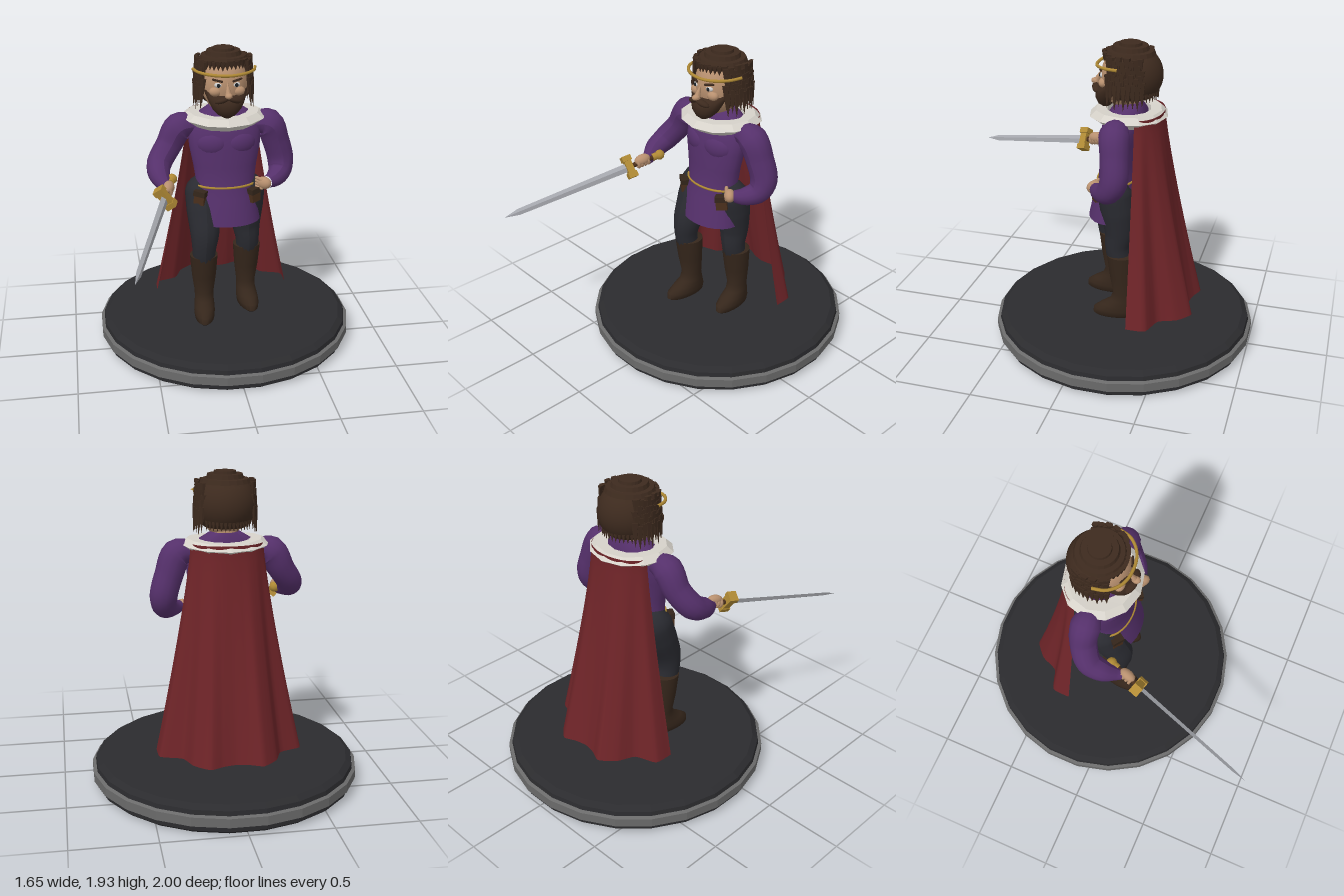
import * as THREE from 'three';
import { toCreasedNormals } from 'three/addons/utils/BufferGeometryUtils.js';
import { ParametricGeometry } from 'three/addons/geometries/ParametricGeometry.js';

const V = (x, y, z) => new THREE.Vector3(x, y, z);
const mat = (color, opts = {}) => new THREE.MeshStandardMaterial({ color, ...opts });
const DOUBLE = { side: THREE.DoubleSide };
const M = {
  purple: mat(0x55306b), cape: mat(0x6e2428, DOUBLE), hair: mat(0x3d2a1e, { flatShading: true }),
  beard: mat(0x3d2a1e), boot: mat(0x35261b), trousers: mat(0x292a30), gold: mat(0xb08a35),
  skin: mat(0xb8906f), steel: mat(0xa4a6ac, { flatShading: true }), collar: mat(0xd6d2ca, { flatShading: true }),
  base: mat(0x2b2b2e, { flatShading: true }), rim: mat(0x6a6a6a, { flatShading: true }),
  white: mat(0xdcdcdc), dark: mat(0x1d2226), leather: mat(0x4a2f1c),
};

function add(parent, name, geo, material, pos = [0, 0, 0], rot = [0, 0, 0], scale = [1, 1, 1]) {
  const m = new THREE.Mesh(geo, material);
  m.name = name;
  m.position.set(...pos);
  m.rotation.set(...rot);
  m.scale.set(...scale);
  parent.add(m);
  return m;
}

// Closed stack of horizontal ellipses, bottom to top: [y, x, z, rx, rz]
function loft(rings, n = 20) {
  const first = rings[0], last = rings[rings.length - 1];
  const all = [[first[0], first[1], first[2], 0, 0], ...rings, [last[0], last[1], last[2], 0, 0]];
  const pos = [], idx = [];
  all.forEach(([y, x, z, rx, rz], i) => {
    for (let j = 0; j < n; j++) {
      const a = j / n * Math.PI * 2;
      pos.push(x + rx * Math.sin(a), y, z + rz * Math.cos(a));
      if (i === all.length - 1) continue;
      const p = i * n + j, q = i * n + (j + 1) % n;
      idx.push(p, q, q + n, p, q + n, p + n);
    }
  });
  const g = new THREE.BufferGeometry();
  g.setAttribute('position', new THREE.Float32BufferAttribute(pos, 3));
  g.setIndex(idx);
  g.computeVertexNormals();
  return toCreasedNormals(g, 0.9);
}

// Tube whose radius follows the path points: [x, y, z, r]
function limb(pts, n = 14, rows = 28) {
  const path = new THREE.CatmullRomCurve3(pts.map(p => V(p[0], p[1], p[2])));
  const g = new THREE.TubeGeometry(path, rows, 1, n, false), P = g.attributes.position;
  for (let i = 0; i < P.count; i++) {
    const u = Math.floor(i / (n + 1)) / rows, t = path.getUtoTmapping(u) * (pts.length - 1);
    const k = Math.min(Math.floor(t), pts.length - 2);
    const r = THREE.MathUtils.lerp(pts[k][3], pts[k + 1][3], t - k), c = path.getPointAt(u);
    const v = V(0, 0, 0).fromBufferAttribute(P, i).sub(c).multiplyScalar(r).add(c);
    P.setXYZ(i, v.x, v.y, v.z);
  }
  g.computeVertexNormals();
  return g;
}

const lathe = (pts, n) => new THREE.LatheGeometry(pts.map(p => new THREE.Vector2(...p)), n);
const ball = () => new THREE.SphereGeometry(1, 20, 14);

function makeBase(g) {
  const at = [0, 0, -0.18], turn = [0, Math.PI / 24, 0];
  add(g, 'baseBottom', lathe([[0, 0], [0.785, 0], [0.81, 0.02], [0.81, 0.05]], 24), M.base, at, turn);
  add(g, 'baseRim', lathe([[0.81, 0.048], [0.83, 0.055], [0.83, 0.11], [0.81, 0.118]], 24), M.rim, at, turn);
  add(g, 'baseTop', lathe([[0.81, 0.115], [0.805, 0.145], [0.77, 0.17], [0, 0.17]], 24), M.base, at, turn);
}

function makeLeg(g, s, z) {
  const side = s > 0 ? 'left' : 'right', x = s * 0.152;
  add(g, side + 'Trousers', limb([[s * 0.12, 1.1, -0.15, 0.06], [s * 0.145, 1.03, -0.15, 0.108],
    [s * 0.145, 0.9, (z - 0.15) / 2, 0.108], [s * 0.145, 0.76, z + 0.01, 0.092],
    [x, 0.66, z + 0.02, 0.076], [x, 0.55, z, 0.07]]), M.trousers);
  add(g, side + 'Boot', loft([[0.168, 0, 0.03, 0.045, 0.12], [0.185, 0, 0.03, 0.064, 0.142],
    [0.22, 0, 0.025, 0.068, 0.143], [0.255, 0, 0.005, 0.066, 0.115], [0.29, 0, -0.02, 0.062, 0.082],
    [0.34, 0, -0.025, 0.062, 0.068], [0.46, 0, -0.015, 0.078, 0.08], [0.61, 0, -0.005, 0.09, 0.09],
    [0.615, 0, -0.005, 0.075, 0.075]]), M.boot, [x, 0, z], [0, s * 0.1, 0]);
}

function makeBody(g) {
  add(g, 'tunic', loft([[0.83, 0.01, -0.115, 0.212, 0.157], [1.0, 0, -0.125, 0.195, 0.132],
    [1.08, 0, -0.132, 0.185, 0.116], [1.2, 0, -0.14, 0.202, 0.115], [1.32, 0, -0.15, 0.225, 0.122],
    [1.42, 0, -0.17, 0.232, 0.13], [1.5, 0, -0.19, 0.205, 0.115], [1.57, 0, -0.2, 0.09, 0.075]], 24), M.purple);
  add(g, 'belt', new THREE.TorusGeometry(1, 0.045, 6, 32), M.gold, [0, 1.075, -0.131], [Math.PI / 2, 0, 0], [0.19, 0.121, 0.17]);
  for (const s of [-1, 1]) {
    add(g, 'chest', ball(), M.purple, [s * 0.09, 1.35, -0.085], [0, s * 0.25, 0], [0.1, 0.08, 0.055]);
    const pouch = add(g, 'pouch', new THREE.BoxGeometry(0.07, 0.085, 0.05), M.leather, [s * 0.17, 1.01, -0.045], [0, s * 0.6, s * 0.08]);
    add(pouch, 'pouchFlap', new THREE.BoxGeometry(0.078, 0.035, 0.058), M.boot, [0, 0.03, 0]);
  }
  makeLeg(g, 1, -0.19);
  makeLeg(g, -1, -0.055);

  // Arms
  add(g, 'leftSleeve', limb([[0.15, 1.45, -0.18, 0.05], [0.28, 1.44, -0.18, 0.093], [0.335, 1.32, -0.195, 0.086],
    [0.37, 1.19, -0.2, 0.084], [0.36, 1.12, -0.165, 0.075], [0.31, 1.09, -0.1, 0.056], [0.26, 1.085, -0.06, 0.038]]), M.purple);
  add(g, 'rightSleeve', limb([[-0.15, 1.45, -0.18, 0.05], [-0.28, 1.44, -0.18, 0.093], [-0.35, 1.33, -0.17, 0.082],
    [-0.42, 1.225, -0.11, 0.078], [-0.425, 1.18, -0.02, 0.066], [-0.4, 1.145, 0.06, 0.04], [-0.39, 1.14, 0.09, 0.032]]), M.purple);
  const fist = new THREE.Group();
  fist.name = 'leftHand';
  fist.position.set(0.235, 1.085, -0.045);
  fist.rotation.y = -0.75;
  add(fist, 'palm', ball(), M.skin, [0, 0, 0], [0, 0, 0], [0.05, 0.04, 0.034]);
  for (let i = 0; i < 4; i++) add(fist, 'finger', new THREE.CapsuleGeometry(0.011, 0.04, 3, 8), M.skin, [-0.025, 0.028 - i * 0.019, 0.018], [0, 0, 1.4]);
  g.add(fist);

  // Fur collar, raised a little at the shoulders
  const collar = lathe([[0.15, 1.475], [0.2, 1.445], [0.268, 1.488], [0.225, 1.525], [0.15, 1.525], [0.15, 1.475]], 12);
  const P = collar.attributes.position;
  for (let i = 0; i < P.count; i++) P.setY(i, P.getY(i) + 0.015 * (P.getX(i) / 0.27) ** 2);
  add(g, 'collar', collar, M.collar, [0, 0, -0.195], [0, 0, 0], [1, 1, 0.89]);

  // Cape: an arc at the shoulders spreading into a folded hem
  const half = [[0.08, -0.625], [0.16, -0.655], [0.25, -0.58], [0.30, -0.47], [0.43, -0.42], [0.44, -0.3]];
  const hem = new THREE.CatmullRomCurve3([...half.map(p => V(-p[0], 0, p[1])).reverse(), V(0, 0, -0.61),
    ...half.map(p => V(p[0], 0, p[1]))], false, 'catmullrom', 0.3);
  add(g, 'cape', new ParametricGeometry((u, t, out) => {
    const a = (u * 2 - 1) * 1.5, b = hem.getPoint(u);
    const x = 0.215 * Math.sin(a), z = -0.27 - 0.14 * Math.cos(a);
    const k = Math.pow(t, 1.2);
    out.set(x + (b.x - x) * k, 1.52 - 1.27 * t, z + (b.z - z) * k);
  }, 48, 14), M.cape);
}

function makeHead(g) {
  const h = new THREE.Group();
  h.name = 'head';
  g.add(h);
  add(h, 'neck', new THREE.CylinderGeometry(0.068, 0.08, 0.17, 16), M.skin, [0, 1.57, -0.19]);
  add(h, 'face', ball(), M.skin, [0, 1.715, -0.165], [0, 0, 0], [0.142, 0.185, 0.143]);
  add(h, 'nose', new THREE.ConeGeometry(0.024, 0.1, 8), M.skin, [0, 1.71, -0.008], [-0.42, 0, 0]);
  add(h, 'noseTip', ball(), M.skin, [0, 1.677, 0.015], [0, 0, 0], [0.022, 0.018, 0.026]);
  for (const s of [-1, 1]) {
    add(h, 'eye', ball(), M.white, [s * 0.055, 1.732, -0.042], [0, s * 0.3, 0], [0.025, 0.016, 0.014]);
    add(h, 'iris', ball(), M.dark, [s * 0.055, 1.732, -0.029], [0, 0, 0], [0.011, 0.012, 0.006]);
    add(h, 'brow', new THREE.CapsuleGeometry(0.007, 0.055, 3, 8), M.beard, [s * 0.06, 1.762, -0.034], [0, s * 0.35, s * 1.75]);
    add(h, 'cheek', ball(), M.skin, [s * 0.07, 1.69, -0.055], [0, 0, 0], [0.04, 0.03, 0.03]);
    add(h, 'moustache', ball(), M.beard, [s * 0.038, 1.648, 0.0], [0, s * 0.35, s * -0.35], [0.048, 0.018, 0.024]);
  }
  add(h, 'beard', loft([[1.525, 0, -0.05, 0.02, 0.02], [1.545, 0, -0.05, 0.055, 0.045], [1.58, 0, -0.06, 0.09, 0.07],
    [1.62, 0, -0.075, 0.11, 0.085], [1.65, 0, -0.09, 0.122, 0.082], [1.69, 0, -0.13, 0.138, 0.07]], 18), M.beard);

  // Hair: crown, back shell, stacked top rings and hanging locks
  const c = [0, 1.735, -0.205], size = [0.182, 0.182, 0.192];
  add(h, 'hairCrown', new THREE.SphereGeometry(1, 28, 8, 0, Math.PI * 2, 0, 0.95), M.hair, c, [0, 0, 0], size);
  add(h, 'hairBack', new THREE.SphereGeometry(1, 24, 12, Math.PI / 2 + 1.0, Math.PI * 2 - 2.0, 0.9, 1.45),
    mat(0x3d2a1e, DOUBLE), c, [0, 0, 0], size);
  [[0.15, 1.872], [0.112, 1.9], [0.07, 1.917]].forEach(([r, y]) =>
    add(h, 'hairRing', new THREE.CylinderGeometry(r * 0.93, r, 0.025, 20), M.hair, [0, y, -0.2]));
  const lock = (a, y, len, out) => {
    const m = add(h, 'hairLock', new THREE.ConeGeometry(0.026, len, 5), M.hair,
      [Math.sin(a) * out, y, -0.205 + Math.cos(a) * out * 1.03], [0, a, 0], [1, 1, 0.55]);
    m.rotateX(Math.PI - 0.06);
  };
  for (let tier = 0; tier < 4; tier++) for (const s of [-1, 1]) for (let i = 0; i < 9; i++) {
    const wobble = Math.sin(i * 2.7 + tier * 1.9) * 0.015;
    lock(s * (0.93 + i * 0.145 + (tier % 2) * 0.06), 1.79 - tier * 0.048 + wobble, 0.15, 0.172 + 0.004 * tier);
  }
  for (let i = -5; i <= 5; i++) lock(i * 0.17, 1.845 + 0.004 * (i % 2), 0.055, 0.158);
  for (let i = -6; i <= 6; i++) lock(Math.PI + i * 0.15, 1.645, 0.1, 0.158);
  add(h, 'circlet', new THREE.TubeGeometry(new THREE.CatmullRomCurve3([V(-0.192, 1.806, -0.17), V(-0.17, 1.805, -0.09),
    V(-0.1, 1.8, -0.025), V(0, 1.795, -0.005), V(0.1, 1.8, -0.025), V(0.17, 1.805, -0.09), V(0.192, 1.806, -0.17)]),
  32, 0.01, 6), M.gold);
}

function makeSword(g) {
  const s = new THREE.Group();
  s.name = 'sword';
  s.position.set(-0.415, 1.125, 0.21);
  s.lookAt(-0.655, 0.965, 1.0);
  s.rotateZ(-0.95);
  g.add(s);
  const along = [Math.PI / 2, 0, 0];
  // Local +z runs towards the point
  const blade = (name, r1, r0, len, z) => add(s, name,
    new THREE.CylinderGeometry(r1, r0, len, 4).rotateX(Math.PI / 2), M.steel, [0, 0, z], [0, 0, 0], [1, 0.45, 1]);
  blade('blade', 0.02, 0.028, 0.75, 0.375);
  blade('bladeTip', 0.001, 0.02, 0.092, 0.796);
  add(s, 'guard', new THREE.BoxGeometry(0.1, 0.055, 0.045), M.gold);
  for (const x of [-1, 1]) add(s, 'guardEnd', new THREE.BoxGeometry(0.035, 0.065, 0.06), M.gold, [x * 0.055, 0, 0]);
  add(s, 'grip', new THREE.CylinderGeometry(0.016, 0.016, 0.2, 10), M.leather, [0, 0, -0.11], along);
  add(s, 'pommel', new THREE.SphereGeometry(0.033, 10, 8), M.gold, [0, 0, -0.215]);
  add(s, 'pommelNeck', new THREE.CylinderGeometry(0.024, 0.024, 0.03, 10), M.gold, [0, 0, -0.18], along);
  // Gripping hand
  add(s, 'rightPalm', ball(), M.skin, [-0.012, 0.014, -0.095], [0, 0, 0], [0.034, 0.03, 0.052]);
  for (let i = 0; i < 4; i++) add(s, 'rightFinger', new THREE.TorusGeometry(0.024, 0.011, 6, 14), M.skin, [0, 0, -0.06 - i * 0.022]);
}

export function createModel() {
  const g = new THREE.Group();
  g.name = 'swordsmanFigurine';
  makeBase(g);
  makeBody(g);
  makeHead(g);
  makeSword(g);
  return g;
}
